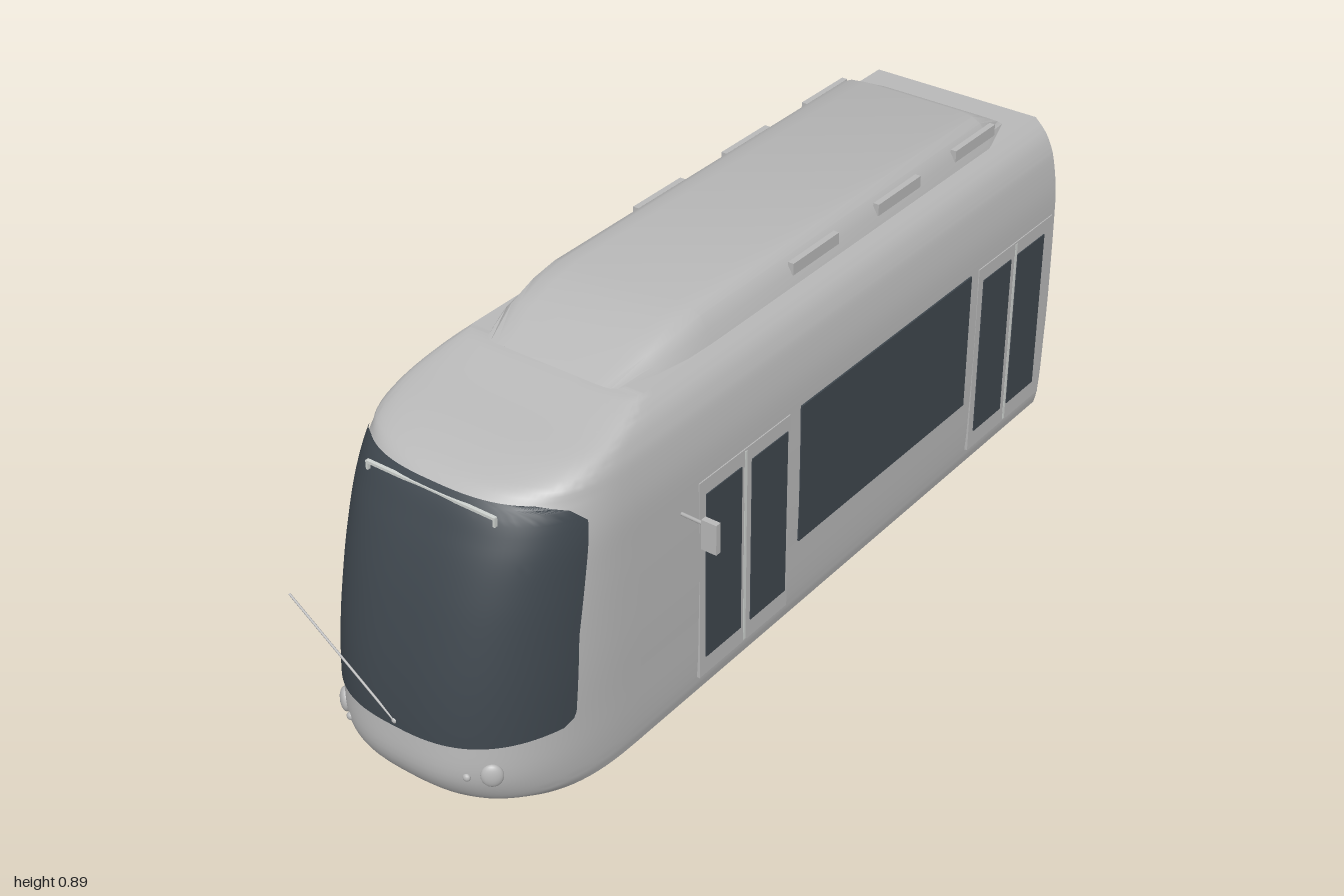
import * as THREE from 'three';
import { toCreasedNormals } from 'three/addons/utils/BufferGeometryUtils.js';

const mat = (name, color, side = THREE.FrontSide) => {
  const m = new THREE.MeshStandardMaterial({ color, side });
  m.name = name;
  return m;
};

// Surface through rows of points; caps close the first and last row
function loft(rows, caps, crease = 0.5) {
  const n = rows[0].length, index = [];
  const quad = (a, b, c, d) => index.push(a, d, c, a, c, b);
  for (let i = 0; i < rows.length - 1; i++)
    for (let j = 0; j < n - 1; j++)
      quad(i * n + j, i * n + j + 1, (i + 1) * n + j + 1, (i + 1) * n + j);
  if (caps) for (let j = 0; j < n / 2 - 1; j++) {
    const k = n - 1 - j, t = (rows.length - 1) * n;
    quad(t + j, t + j + 1, t + k - 1, t + k);
    quad(k, k - 1, j + 1, j);
  }
  const g = new THREE.BufferGeometry();
  g.setAttribute('position', new THREE.Float32BufferAttribute(rows.flat(2), 3));
  g.setIndex(index);
  return toCreasedNormals(g, crease);
}

// Body profile: half width, height, front z
const PROFILE = [
  [0.272, 0.07, 0.9], [0.278, 0.1, 0.95], [0.282, 0.16, 0.985], [0.284, 0.25, 0.985],
  [0.286, 0.35, 0.973], [0.286, 0.45, 0.952], [0.285, 0.56, 0.92], [0.282, 0.66, 0.878],
  [0.27, 0.735, 0.83], [0.258, 0.77, 0.75], [0.24, 0.8, 0.61], [0.215, 0.825, 0.5],
].map(p => new THREE.Vector3(...p));
const LAST = PROFILE.length - 1;
const profileCurve = new THREE.CatmullRomCurve3(PROFILE);

// Nose plan at one level: rounded below, squarer towards the roof
function level(k, off = 0) {
  const c = profileCurve.getPoint(k / LAST);
  const s = THREE.MathUtils.clamp((c.y - 0.735) / 0.09, 0, 1);
  const start = 0.58 - 0.14 * s, p = 2.7 + 3 * s, len = c.z + off - start, w = c.x + off;
  return {
    y: c.y, w,
    at: a => [w * Math.sign(Math.cos(a)) * Math.abs(Math.cos(a)) ** (2 / p), c.y,
      start + len * Math.max(0, Math.sin(a)) ** (2 / p)],
    angle: z => Math.asin(Math.min(1, (z - start) / len) ** (p / 2)),
  };
}

function bodyGeometry() {
  const rows = [];
  for (let i = 0; i <= LAST * 5; i++) {
    const l = level(i / 5), row = [[l.w, l.y, -0.99]];
    for (let j = 0; j < 48; j++) row.push(l.at(Math.PI * j / 47));
    row.push([-l.w, l.y, -0.99]);
    rows.push(row);
  }
  return loft(rows, true);
}

// Windscreen follows the nose and wraps round to the sides
function windscreenGeometry() {
  const edge = [[0.25, 0.8], [0.265, 0.77], [0.45, 0.755], [0.69, 0.71], [0.72, 0.74], [0.74, 0.8]];
  const rows = [];
  for (let i = 0; i <= 40; i++) {
    const l = level(3 + 5 * i / 40, 0.004);
    const e = Math.max(1, edge.findIndex(q => q[0] >= l.y));
    const [y0, z0] = edge[e - 1], [y1, z1] = edge[e];
    const a = l.angle(THREE.MathUtils.mapLinear(l.y, y0, y1, z0, z1));
    rows.push(Array.from({ length: 49 }, (_, j) => l.at(a + (Math.PI - 2 * a) * j / 48)));
  }
  return loft(rows, false);
}

// Roof equipment cover: z, half width, height
function podGeometry() {
  const half = [[1, 0], [0.94, 0.4], [0.86, 0.8], [0.76, 0.94], [0.6, 1]];
  const section = [...half, ...half.map(([x, y]) => [-x, y]).reverse()];
  const stations = [[0.5, 0.165, 0.002], [0.4, 0.197, 0.042], [0.32, 0.21, 0.06], [0.25, 0.213, 0.07],
    [-0.8, 0.213, 0.07], [-0.93, 0.18, 0.002]];
  return loft(stations.map(([z, b, h]) => section.map(([x, y]) => [x * b, 0.823 + y * h, z])), true, 0.6);
}

// Rear wall with a wide gangway opening
function rearGeometry() {
  const pts = Array.from({ length: 34 }, (_, i) => profileCurve.getPoint(i / 33));
  const shape = new THREE.Shape([
    ...pts.map(p => new THREE.Vector2(p.x, p.y)),
    ...pts.reverse().map(p => new THREE.Vector2(-p.x, p.y))]);
  const hole = new THREE.Path();
  hole.moveTo(-0.255, 0.095).lineTo(0.255, 0.095).lineTo(0.26, 0.53);
  hole.quadraticCurveTo(0.26, 0.59, 0.2, 0.59).lineTo(-0.2, 0.59);
  hole.quadraticCurveTo(-0.26, 0.59, -0.26, 0.53).closePath();
  shape.holes.push(hole);
  return new THREE.ExtrudeGeometry(shape, { depth: 0.01, bevelEnabled: false });
}

export function createModel() {
  const tram = new THREE.Group();
  tram.name = 'tram';
  const grey = mat('body grey', 0xb8b8b8);
  const glass = mat('dark glass', 0x3e464d);
  const light = mat('light trim', 0xcfd3d0);

  const add = (name, geo, m, x = 0, y = 0, z = 0) => {
    const mesh = new THREE.Mesh(geo, m);
    mesh.name = name;
    mesh.position.set(x, y, z);
    tram.add(mesh);
    return mesh;
  };
  const box = (name, m, w, h, d, x, y, z) => add(name, new THREE.BoxGeometry(w, h, d), m, x, y, z);
  const rod = (name, m, r, a, b) => {
    const p = new THREE.Vector3(...a), q = new THREE.Vector3(...b);
    const mesh = add(name, new THREE.CylinderGeometry(r, r, p.distanceTo(q), 10), m);
    mesh.position.copy(p).add(q).multiplyScalar(0.5);
    mesh.quaternion.setFromUnitVectors(new THREE.Vector3(0, 1, 0), q.sub(p).normalize());
    return mesh;
  };

  // Shell
  add('body', bodyGeometry(), grey);
  add('rearWall', rearGeometry(), grey, 0, 0, -1);
  add('windscreen', windscreenGeometry(), glass);
  add('roofPod', podGeometry(), grey);

  // Destination sign frame and wiper
  box('signBar', light, 0.32, 0.006, 0.008, 0, 0.722, 0.843);
  for (const s of [1, -1]) box('signEnd', light, 0.005, 0.02, 0.008, s * 0.158, 0.714, 0.843);
  rod('wiper', grey, 0.0025, [0, 0.262, 0.987], [-0.262, 0.445, 0.982]);
  add('wiperPivot', new THREE.SphereGeometry(0.007, 12, 8), grey, 0, 0.262, 0.985);

  // Interior lining
  box('floor', light, 0.53, 0.01, 1.44, 0, 0.09, -0.27);
  box('ceiling', grey, 0.53, 0.01, 1.44, 0, 0.6, -0.27);
  box('cabWall', grey, 0.53, 0.5, 0.01, 0, 0.345, 0.45);
  box('cabWindow', glass, 0.36, 0.2, 0.006, 0, 0.44, 0.443);

  const panes = [[0.37, 0.25], [0.215, 0.09], [-0.68, -0.8], [-0.83, -0.95]];
  for (const s of [1, -1]) {
    const plate = (name, m, x, t, z0, z1, y0, y1) =>
      box(name, m, t, y1 - y0, z0 - z1, s * x, (y0 + y1) / 2, (z0 + z1) / 2);
    plate('innerWall', light, 0.265, 0.006, 0.45, -0.99, 0.09, 0.6);

    // Doors and windows, glazed on both faces
    for (const [z0, z1] of [[0.39, 0.08], [-0.66, -0.985]]) {
      plate('door', grey, 0.2825, 0.009, z0, z1, 0.115, 0.6);
      const mid = (z0 + z1) / 2;
      plate('doorSeam', light, 0.285, 0.006, mid + 0.004, mid - 0.004, 0.12, 0.595);
    }
    for (const [z0, z1] of panes) {
      plate('doorGlass', glass, 0.2865, 0.006, z0, z1, 0.16, 0.565);
      plate('doorGlassInside', glass, 0.261, 0.004, z0, z1, 0.16, 0.565);
    }
    plate('sideWindow', glass, 0.2845, 0.008, 0.04, -0.625, 0.26, 0.6);
    plate('sideWindowInside', glass, 0.261, 0.004, 0.04, -0.625, 0.26, 0.59);

    // Roof vents
    for (const z of [-0.12, -0.435, -0.745])
      box('roofVent', grey, 0.014, 0.027, 0.165, s * 0.199, 0.858, z);

    // Mirrors
    rod('mirrorArm', grey, 0.004, [s * 0.28, 0.56, 0.445], [s * 0.355, 0.572, 0.46]);
    box('mirror', grey, 0.036, 0.07, 0.014, s * 0.366, 0.55, 0.46);

    // Headlights
    const lamp = add('headlight', new THREE.SphereGeometry(1, 20, 14), grey, s * 0.192, 0.182, 0.928);
    lamp.scale.set(0.023, 0.027, 0.012);
    lamp.rotation.y = s * 0.7;
    const small = add('markerLight', new THREE.SphereGeometry(0.009, 12, 8), grey, s * 0.152, 0.177, 0.957);
    small.scale.z = 0.8;

    // Wheels with flanges and brake discs
    for (const z of [-0.07, -0.505]) {
      const disc = (name, r, w, x) => {
        add(name, new THREE.CylinderGeometry(r, r, w, 32), grey, s * x, 0.077, z).rotation.z = Math.PI / 2;
      };
      disc('wheel', 0.066, 0.03, 0.182);
      disc('wheelFlange', 0.074, 0.009, 0.174);
      disc('brakeDisc', 0.046, 0.011, 0.115);
      box('axleBox', grey, 0.02, 0.014, 0.06, s * 0.207, 0.064, z);
    }
    for (const z of [-0.19, -0.395])
      box('brakeCaliper', grey, 0.02, 0.022, 0.05, s * 0.16, 0.062, z);

    // Seats and handrails
    for (const z of [-0.05, -0.25, -0.45]) {
      box('seat', grey, 0.13, 0.02, 0.11, s * 0.19, 0.19, z);
      box('seatBack', grey, 0.13, 0.15, 0.015, s * 0.19, 0.27, z + 0.055);
      box('seatFoot', grey, 0.04, 0.09, 0.06, s * 0.2, 0.14, z);
    }
    for (const z of [-0.9, -0.64, 0.06])
      rod('pole', grey, 0.006, [s * 0.16, 0.09, z], [s * 0.16, 0.6, z]);
    rod('handrail', grey, 0.005, [s * 0.16, 0.53, -0.9], [s * 0.16, 0.53, 0.06]);
  }

  // Motors between the axles
  for (const z of [-0.19, -0.395])
    add('motor', new THREE.CylinderGeometry(0.025, 0.025, 0.17, 20), grey, -0.015, 0.068, z).rotation.z = Math.PI / 2;

  return tram;
}
